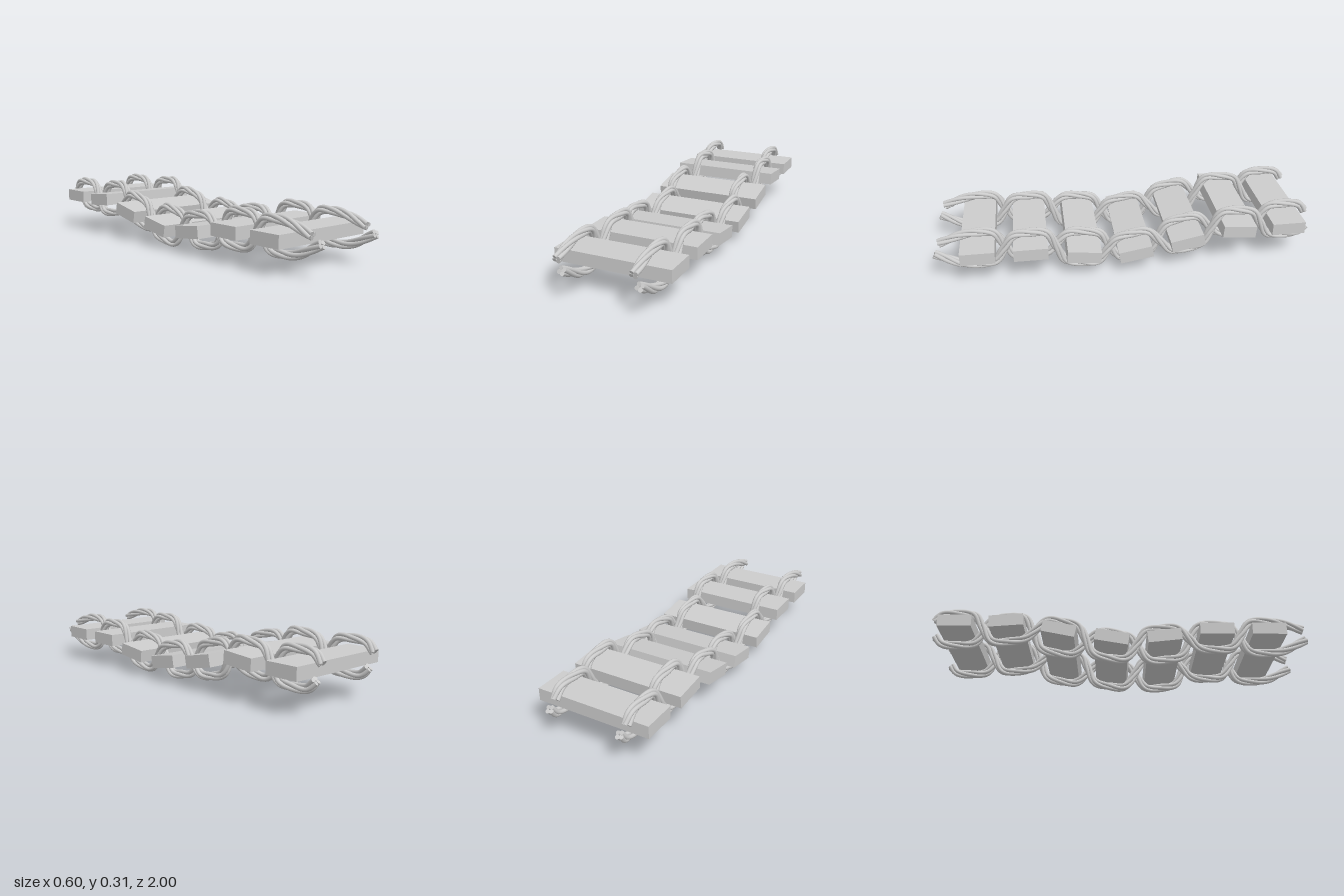
import * as THREE from 'three';
import { mergeGeometries } from 'three/addons/utils/BufferGeometryUtils.js';

// Plank centres and tilts, from front to back: z, y, rotation about x
const PLANKS = [
  [0.77, 0.16, 0], [0.5, 0.16, 0], [0.227, 0.118, -0.11], [-0.045, 0.11, 0.17],
  [-0.32, 0.155, 0.2], [-0.595, 0.202, -0.08], [-0.862, 0.2, 0],
];
const STRAND_RADIUS = 0.0107, STRAND_OFFSET = 0.0135, TWIST = 13;

// Centre line of one rope, weaving over and under the planks at a fixed x
function ropePath(x, side) {
  const pts = [side > 0 ? [0.968, 0.193] : [0.99, 0.155]];
  PLANKS.forEach(([z, y, tilt], i) => {
    const s = i % 2 ? -side : side;
    for (const [dz, dy] of [[0.085, 0.072], [0, 0.084], [-0.085, 0.074]]) {
      const ly = s * dy;
      pts.push([z + dz * Math.cos(tilt) + ly * Math.sin(tilt), y + ly * Math.cos(tilt) - dz * Math.sin(tilt)]);
    }
    const next = PLANKS[i + 1];
    if (next) pts.push([(z + next[0]) / 2, (y + next[1]) / 2]);
  });
  pts.push(side > 0 ? [-0.985, 0.232] : [-0.985, 0.165]);
  const curve = new THREE.CatmullRomCurve3(pts.map(([z, y]) => new THREE.Vector3(x, y, z)));
  curve.arcLengthDivisions = 600;
  return curve;
}

// A strand spiralling around the rope's centre line
class StrandCurve extends THREE.Curve {
  constructor(path, phase) {
    super();
    this.path = path;
    this.phase = phase;
    this.pathLength = path.getLength();
  }
  getPoint(u, target = new THREE.Vector3()) {
    const t = this.path.getTangentAt(u);
    const across = new THREE.Vector3(1, 0, 0);
    const up = new THREE.Vector3().crossVectors(across, t);
    const a = this.phase - TWIST * u * this.pathLength;
    return target.copy(this.path.getPointAt(u))
      .addScaledVector(across, STRAND_OFFSET * Math.cos(a))
      .addScaledVector(up, STRAND_OFFSET * Math.sin(a));
  }
}

// Tube closed by a flat disc at each end
function strandGeometry(curve) {
  const parts = [new THREE.TubeGeometry(curve, 180, STRAND_RADIUS, 10, false)];
  for (const u of [0, 1]) {
    const out = curve.getTangent(u).multiplyScalar(u ? 1 : -1);
    const cap = new THREE.CircleGeometry(STRAND_RADIUS, 10);
    cap.applyQuaternion(new THREE.Quaternion().setFromUnitVectors(new THREE.Vector3(0, 0, 1), out));
    const p = curve.getPoint(u);
    cap.translate(p.x, p.y, p.z);
    parts.push(cap);
  }
  return mergeGeometries(parts);
}

export function createModel() {
  const model = new THREE.Group();
  model.name = 'ropeBridge';
  const material = new THREE.MeshStandardMaterial({ color: 0xcccccc });

  // Planks
  const plankGeometry = new THREE.BoxGeometry(0.604, 0.065, 0.177);
  PLANKS.forEach(([z, y, tilt], i) => {
    const plank = new THREE.Mesh(plankGeometry, material);
    plank.name = `plank${i + 1}`;
    plank.position.set(0, y, z);
    plank.rotation.x = tilt;
    model.add(plank);
  });

  // Two interleaved ropes of four strands on each side
  for (const [label, x] of [['right', -0.193], ['left', 0.195]]) {
    for (const side of [1, -1]) {
      const rope = new THREE.Group();
      rope.name = `${label}Rope${side > 0 ? 'Over' : 'Under'}`;
      const path = ropePath(x - side * 0.02, side);
      for (let k = 0; k < 4; k++) {
        const strand = new THREE.Mesh(strandGeometry(new StrandCurve(path, (k + 0.3) * Math.PI / 2)), material);
        strand.name = `strand${k + 1}`;
        rope.add(strand);
      }
      model.add(rope);
    }
  }
  return model;
}
